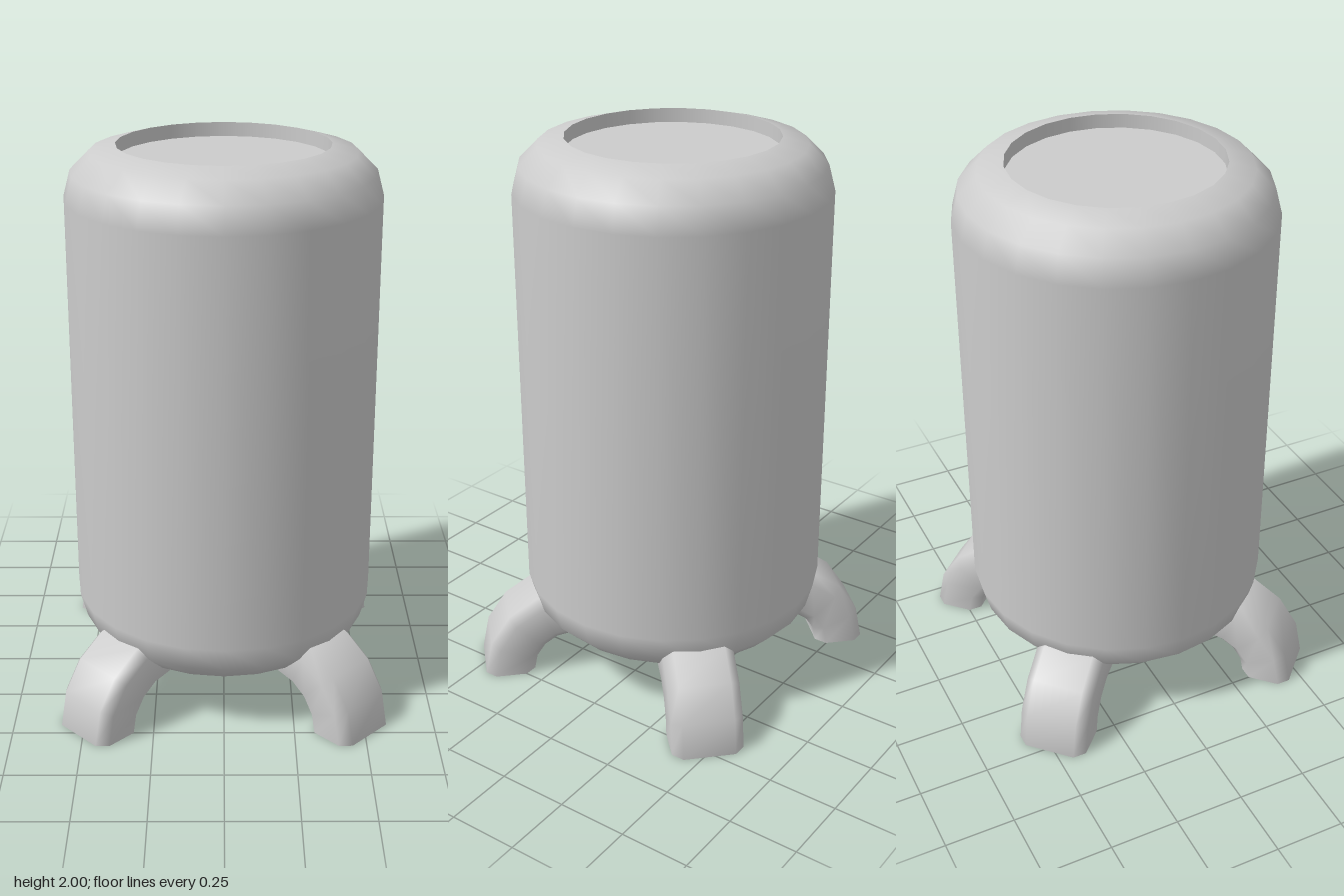
import * as THREE from 'three';

const SIDES = 24;
const BODY_R = 0.545, BEVEL = 0.18, RIM_R = BODY_R - BEVEL;
const BODY_BOTTOM = 0.18, BODY_TOP = 2;

const material = new THREE.MeshStandardMaterial({ color: 0xcccccc });

function addMesh(parent, name, geometry) {
  const mesh = new THREE.Mesh(geometry, material);
  mesh.name = name;
  parent.add(mesh);
  return mesh;
}

function lathe(points) {
  return new THREE.LatheGeometry(points.map(([r, y]) => new THREE.Vector2(r, y)), SIDES);
}

// Quarter-round edges at both ends of the straight wall
function bodyProfile() {
  const lower = [], upper = [];
  for (let i = 0; i <= 3; i++) {
    const a = (i / 3) * Math.PI / 2;
    const r = RIM_R + BEVEL * Math.sin(a);
    const drop = BEVEL * (1 - Math.cos(a));
    lower.push([r, BODY_BOTTOM + drop]);
    upper.unshift([r, BODY_TOP - drop]);
  }
  return [...lower, ...upper];
}

// Quarter-arc leg: a chamfered rectangle swept from the foot up into the body
function makeLeg() {
  const leg = new THREE.Group();
  const bend = 0.235, h = 0.0915, w = 0.127, c = 0.035;
  const section = [
    [-h, 0], [-h, -w + c], [-h + c, -w], [h - c, -w], [h, -w + c],
    [h, w - c], [h - c, w], [-h + c, w], [-h, w - c], [-h, 0],
  ].map(([x, y]) => new THREE.Vector2(bend + x, y));

  const arc = new THREE.LatheGeometry(section, 4, 0, Math.PI / 2);
  // Turn the sweep so it starts at the ground and rises towards the body
  arc.applyMatrix4(new THREE.Matrix4().makeBasis(
    new THREE.Vector3(0, 1, 0), new THREE.Vector3(0, 0, 1), new THREE.Vector3(1, 0, 0)));
  arc.translate(0.402, 0, 0);
  addMesh(leg, 'legArc', arc);

  const sole = new THREE.ShapeGeometry(new THREE.Shape(section.slice(0, -1)));
  sole.rotateX(Math.PI / 2).translate(0.402, 0, 0);
  addMesh(leg, 'footSole', sole);
  return leg;
}

export function createModel() {
  const model = new THREE.Group();
  model.name = 'canisterOnLegs';

  addMesh(model, 'body', lathe(bodyProfile()));

  // Shallow recess in the top
  const floorY = BODY_TOP - 0.05;
  addMesh(model, 'recessWall', lathe([[RIM_R, BODY_TOP], [RIM_R, floorY]]));
  addMesh(model, 'recessFloor', lathe([[RIM_R, floorY], [0, floorY]]));

  // Low plug under the body, softly shaded over its edge
  addMesh(model, 'bottomPlug', lathe([[0, 0.15], [RIM_R, 0.15], [RIM_R, BODY_BOTTOM]]));

  // Four legs on the diagonals
  const names = ['backLeftLeg', 'backRightLeg', 'frontRightLeg', 'frontLeftLeg'];
  names.forEach((name, i) => {
    const leg = makeLeg();
    leg.name = name;
    leg.rotation.y = Math.PI / 4 + i * Math.PI / 2;
    model.add(leg);
  });

  return model;
}
